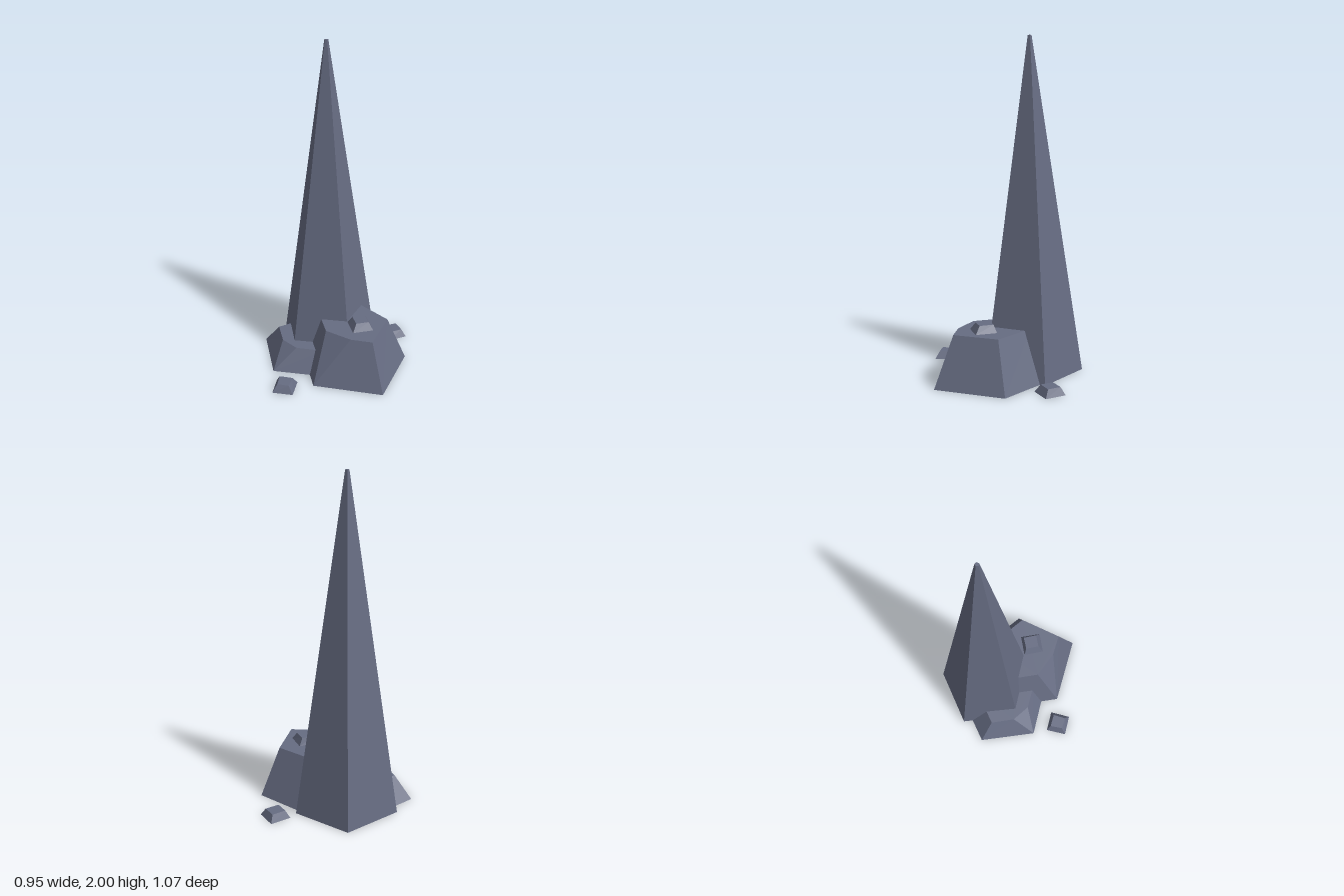
import * as THREE from 'three';

const stone = new THREE.MeshStandardMaterial({ color: 0x666c82, flatShading: true });
stone.name = 'slate stone';

// Closed tapered rock between a lower and an upper loop of [x, z] corners.
// Repeated corners collapse a side into a triangle.
function taperedRock(name, lower, upper, y0, y1) {
  const b = lower.map(([x, z]) => new THREE.Vector3(x, y0, z));
  const t = upper.map(([x, z]) => new THREE.Vector3(x, y1, z));
  const pos = [];
  const tri = (p, q, r) => {
    if (p.equals(q) || q.equals(r) || r.equals(p)) return;
    for (const v of [p, q, r]) pos.push(v.x, v.y, v.z);
  };
  const n = b.length;
  for (let i = 0; i < n; i++) {
    const j = (i + 1) % n;
    tri(b[i], b[j], t[j]);
    tri(b[i], t[j], t[i]);
  }
  for (let i = 1; i < n - 1; i++) {
    tri(t[0], t[i], t[i + 1]);
    tri(b[0], b[i + 1], b[i]);
  }
  const geo = new THREE.BufferGeometry();
  geo.setAttribute('position', new THREE.Float32BufferAttribute(pos, 3));
  geo.computeVertexNormals();
  const mesh = new THREE.Mesh(geo, stone);
  mesh.name = name;
  return mesh;
}

export function createModel() {
  const group = new THREE.Group();
  group.name = 'rockSpire';

  // Tall five-sided spire with a tiny blunt tip
  const spireBase = [[-0.165, 0.225], [0.124, -0.003], [-0.01, -0.355], [-0.38, -0.335], [-0.475, 0.025]];
  const tip = [-0.168, -0.08];
  const spireTop = spireBase.map(([x, z]) => [
    tip[0] + (x - tip[0]) * 0.038,
    tip[1] + (z - tip[1]) * 0.038,
  ]);
  group.add(taperedRock('spire', spireBase, spireTop, 0, 2));

  // Large boulder on the left of the spire
  group.add(taperedRock('largeBoulder',
    [[0.125, 0.305], [0.125, 0.305], [0.475, 0.06], [0.295, -0.325], [-0.08, -0.325], [-0.2, 0.117]],
    [[0.07, 0.15], [0.24, 0.105], [0.35, 0.03], [0.235, -0.215], [-0.04, -0.21], [-0.12, 0.043]],
    0, 0.3));

  // Low boulder in front of the spire
  group.add(taperedRock('lowBoulder',
    [[-0.155, 0.39], [-0.155, 0.39], [0.14, 0.165], [0.03, -0.08], [-0.39, -0.08], [-0.46, 0.205]],
    [[-0.22, 0.255], [-0.095, 0.25], [0.04, 0.15], [0, -0.02], [-0.3, -0.02], [-0.35, 0.18]],
    0, 0.138));

  // Small four-sided pebbles: front, back and on top of the large boulder
  group.add(taperedRock('frontPebble',
    [[0.008, 0.53], [0.108, 0.455], [0.033, 0.353], [-0.07, 0.43]],
    [[0.01, 0.492], [0.07, 0.452], [0.026, 0.386], [-0.04, 0.432]],
    0, 0.045));
  group.add(taperedRock('backPebble',
    [[0.103, -0.372], [0.146, -0.493], [0.025, -0.535], [-0.017, -0.414]],
    [[0.085, -0.402], [0.115, -0.482], [0.038, -0.508], [0.01, -0.428]],
    0, 0.045));
  group.add(taperedRock('topPebble',
    [[0.2, 0.046], [0.261, -0.064], [0.15, -0.125], [0.088, -0.012]],
    [[0.189, 0.01], [0.226, -0.059], [0.151, -0.098], [0.115, -0.028]],
    0.3, 0.345));

  return group;
}
